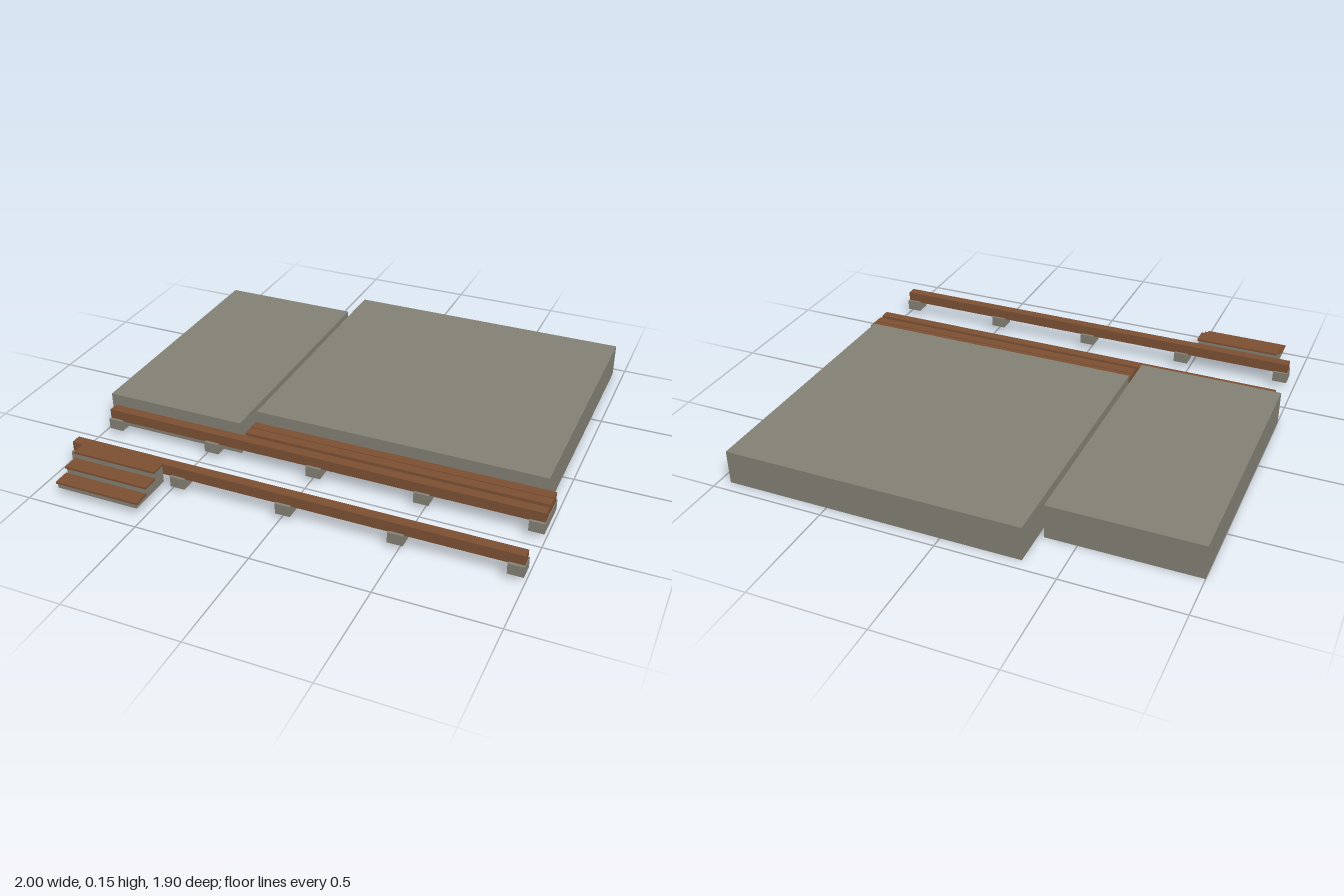
import * as THREE from 'three';

export function createModel() {
  const model = new THREE.Group();
  model.name = 'foundation';
  const concrete = new THREE.MeshStandardMaterial({ color: 0x838174 });
  concrete.name = 'concrete';
  const wood = new THREE.MeshStandardMaterial({ color: 0x7d5033 });
  wood.name = 'wood';

  // Box given by its extents on each axis
  function box(parent, name, material, [x0, x1], [y0, y1], [z0, z1]) {
    const mesh = new THREE.Mesh(new THREE.BoxGeometry(x1 - x0, y1 - y0, z1 - z0), material);
    mesh.position.set((x0 + x1) / 2, (y0 + y1) / 2, (z0 + z1) / 2);
    mesh.name = name;
    parent.add(mesh);
  }

  // Floor slabs
  box(model, 'smallSlab', concrete, [-1, -0.363], [0, 0.15], [-0.79, 0.367]);
  box(model, 'largeSlab', concrete, [-0.341, 0.952], [0, 0.15], [-0.95, 0.252]);

  // Sleeper rows: evenly spaced footings carrying one or more beams
  function sleeperRow(name, xStart, count, zFooting, beamCentres) {
    const row = new THREE.Group();
    row.name = name;
    const xEnd = 0.9625, half = 0.0325;
    for (let i = 0; i < count; i++) {
      const x = xStart + (xEnd - xStart) * i / (count - 1);
      box(row, 'footing', concrete, [x - half, x + half], [0.028, 0.075], zFooting);
    }
    for (const z of beamCentres) {
      box(row, 'beam', wood, [xStart - 0.03, xEnd + 0.03], [0.07, 0.117], [z - 0.022, z + 0.022]);
    }
    model.add(row);
  }
  sleeperRow('frontSleeper', -0.934, 5, [0.669, 0.737], [0.702]);
  sleeperRow('middleSleeper', -0.934, 5, [0.383, 0.453], [0.418]);
  sleeperRow('doubleSleeper', -0.302, 4, [0.273, 0.385], [0.306, 0.355]);

  // Steps: concrete risers with overhanging wooden treads
  const steps = new THREE.Group();
  steps.name = 'steps';
  for (let i = 0; i < 3; i++) {
    const z = 0.947 - i * 0.07, y = 0.064 + i * 0.03;
    box(steps, 'riser', concrete, [-0.893, -0.523], [0.043, y], [z - 0.07 - (i < 2 ? 0.005 : 0), z - 0.005]);
    box(steps, 'tread', wood, [-0.898, -0.518], [y, y + 0.009], [z - 0.072, z]);
  }
  model.add(steps);
  return model;
}
